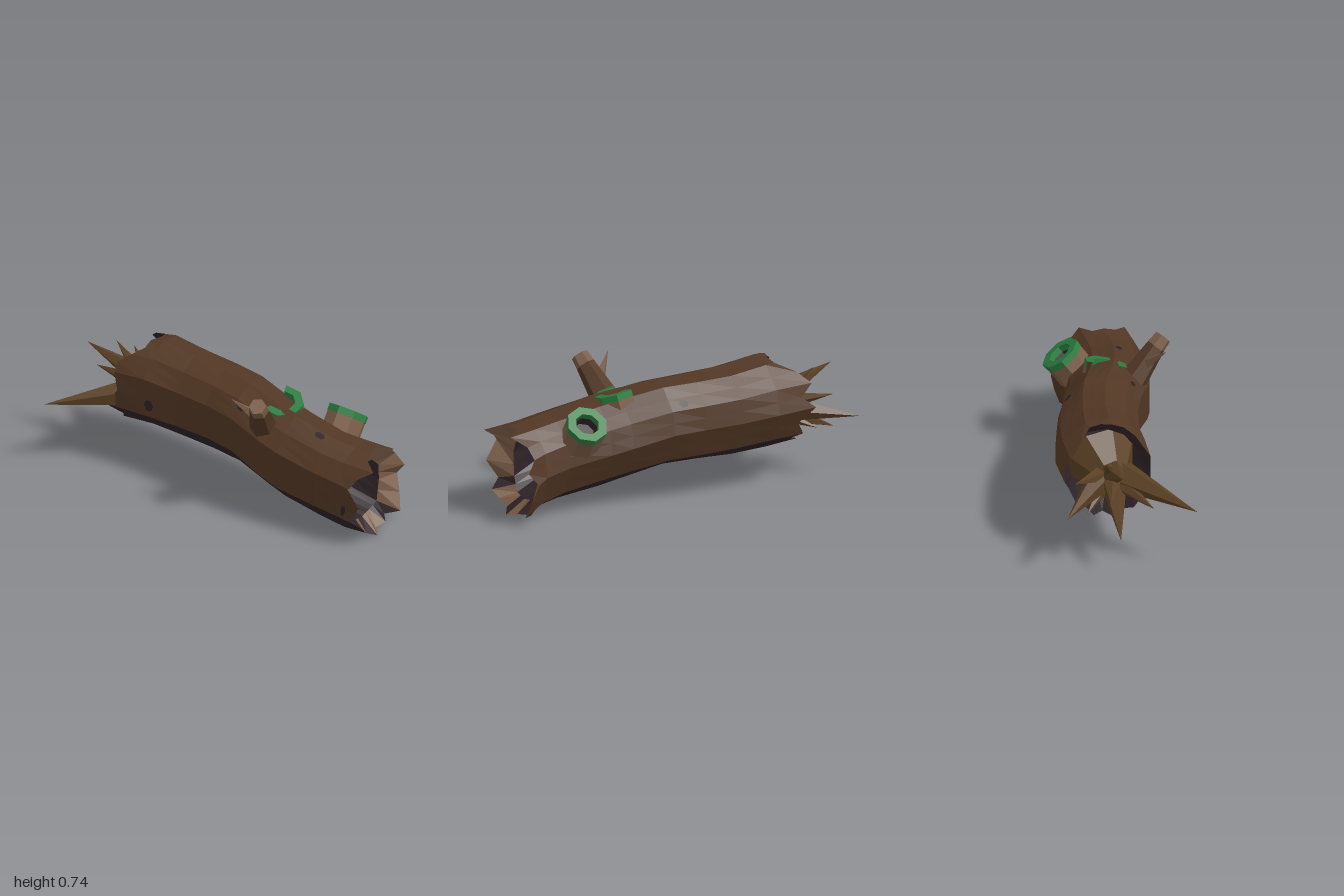
import * as THREE from 'three';

const mat = (name, color) => {
  const m = new THREE.MeshStandardMaterial({ color, flatShading: true });
  m.name = name;
  return m;
};
const V = (x, y, z) => new THREE.Vector3(x, y, z);
const UP = V(0, 1, 0);

// Cross-section angles, measured from +z (front) towards +y
const ANGLES = [24, 52, 82, 112, 150, 182, 225, 250, 275, 303, 333].map(a => a * Math.PI / 180);
const N = ANGLES.length * 2;

// Log axis: x, centre y, centre z, radius
const SECTIONS = [
  [-0.5, 0.45, -0.105, 0.245], [-0.3, 0.432, -0.1, 0.235], [-0.1, 0.422, -0.078, 0.23],
  [0.08, 0.41, -0.045, 0.23], [0.3, 0.362, 0.01, 0.236], [0.42, 0.337, 0.032, 0.237],
  [0.66, 0.295, 0.05, 0.23], [0.8, 0.27, 0.04, 0.235],
];
// Broken ends: x of each tooth or notch, two per cross-section angle
const LEFT_JAG = [-0.68, -0.68, -0.62, -0.57, -0.57, -0.55, -0.56, -0.66, -0.72, -0.65, -0.73,
  -0.64, -0.69, -0.62, -0.7, -0.63, -0.7, -0.64, -0.68, -0.65, -0.74, -0.66];
const RIGHT_JAG = [0.87, 0.91, 0.985, 0.91, 0.895, 0.88, 0.955, 0.89, 0.88, 0.925, 0.87,
  0.9, 0.925, 0.86, 0.91, 0.88, 0.925, 0.89, 0.91, 0.93, 0.87, 0.935];
const ROUND = Array(ANGLES.length).fill(1);
const RIGHT_OUTLINE = [1, 1, 0.98, 0.97, 1, 1, 1.12, 0.91, 1, 0.9, 0.93];

// Ring of corners with midpoints between them; bulge pushes the midpoints outwards
function ring(xs, cy, cz, r, wobble = 0, bulge = 1, outline = ROUND) {
  const corners = ANGLES.map((a, j) => {
    const rr = r * outline[j] * (1 + wobble * Math.sin(j * 2.4 + xs[j * 2] * 7));
    return V(0, rr * Math.sin(a), rr * Math.cos(a));
  });
  return xs.map((x, j) => {
    const p = corners[j >> 1].clone();
    if (j % 2) p.lerp(corners[((j + 1) / 2) % corners.length], 0.5).multiplyScalar(bulge);
    return V(x, p.y + cy, p.z + cz);
  });
}
const flat = x => Array(N).fill(x);

function meshFromTriangles(name, points, material) {
  const g = new THREE.BufferGeometry().setFromPoints(points);
  g.computeVertexNormals();
  const m = new THREE.Mesh(g, material);
  m.name = name;
  return m;
}

function tapered(name, from, to, r0, r1, sides, material) {
  const d = to.clone().sub(from);
  const m = new THREE.Mesh(new THREE.CylinderGeometry(r1, r0, d.length(), sides), material);
  m.position.copy(from).addScaledVector(d, 0.5);
  m.quaternion.setFromUnitVectors(UP, d.normalize());
  m.name = name;
  return m;
}

export function createModel() {
  const bark = mat('bark brown', 0x523724);
  const dark = mat('dark rotten wood', 0x2e2226);
  const wood = mat('pale broken wood', 0x7b5d47);
  const moss = mat('moss green', 0x2b7d40);
  const root = mat('root brown', 0x5a4024);
  const model = new THREE.Group();
  model.name = 'hollowLog';

  // Closed chain of rings: outer bark, right rim, hollow, left rim
  const outer = [
    ring(LEFT_JAG, 0.45, -0.09, 0.24, 0, 1.02),
    ...SECTIONS.map(([x, y, z, r]) => ring(flat(x), y, z, r, 0.02)),
    ring(RIGHT_JAG, 0.25, 0.025, 0.25, 0, 1.02, RIGHT_OUTLINE),
  ];
  const inner = [
    ring(flat(0.82), 0.235, 0.02, 0.16, 0.1),
    ...SECTIONS.slice(1, -1).reverse().map(([x, y, z, r]) => ring(flat(x), y, z, r * 0.72, 0.05)),
    ring(flat(-0.52), 0.45, -0.11, 0.19),
  ];
  const rings = [...outer, ...inner];
  const parts = { barkShell: [], darkUnderside: [], brokenRim: [], hollow: [] };
  const rimRow = outer.length - 1;
  rings.forEach((a, i) => {
    const b = rings[(i + 1) % rings.length];
    for (let j = 0; j < N; j++) {
      const k = (j + 1) % N;
      const under = j >= 12 && j <= 19;
      const darkRim = [12, 13, 16, 19].includes(j);
      const part = i < rimRow ? (under ? 'darkUnderside' : 'barkShell')
        : i === rimRow && !darkRim ? 'brokenRim' : 'hollow';
      parts[part].push(a[j], b[j], a[k], b[j], b[k], a[k]);
    }
  });
  const partMaterial = { barkShell: bark, darkUnderside: dark, brokenRim: wood, hollow: dark };
  for (const name in parts) model.add(meshFromTriangles(name, parts[name], partMaterial[name]));

  // Small dark knots lying on the bark faces: [section row, face, u, v]
  [[1, 20, 0.15, 0.65], [4, 1, 0.15, 0.5], [3, 7, 0.6, 0.5], [6, 3, 0.75, 0.5], [8, 20, 0.35, 0.5]].forEach(([i, j, u, v]) => {
    const a = outer[i], b = outer[i + 1], k = (j + 1) % N;
    const at = (s, t) => a[j].clone().lerp(b[j], s).lerp(a[k].clone().lerp(b[k], s), t);
    const n = b[j].clone().sub(a[j]).cross(a[k].clone().sub(a[j])).normalize().multiplyScalar(0.004);
    const rim = q => at(u + 0.14 * Math.cos(q), v + 0.34 * Math.sin(q)).add(n);
    const tris = [];
    for (let s = 0; s < 6; s++) tris.push(at(u, v).add(n), rim(s * Math.PI / 3), rim((s + 1) * Math.PI / 3));
    model.add(meshFromTriangles('barkKnot', tris, dark));
  });

  // Root plug and spikes bursting from the left end: [base, tip, radius]
  model.add(tapered('rootPlug', V(-0.47, 0.445, -0.108), V(-0.66, 0.4, -0.06), 0.195, 0.07, 8, root));
  [
    [V(-0.6, 0.4, -0.01), V(-0.985, 0.36, 0.345), 0.085],
    [V(-0.6, 0.4, -0.12), V(-0.985, 0.355, -0.345), 0.08],
    [V(-0.6, 0.43, -0.07), V(-0.97, 0.57, -0.05), 0.075],
    [V(-0.6, 0.37, -0.06), V(-0.98, 0.21, -0.06), 0.075],
    [V(-0.62, 0.43, -0.07), V(-0.83, 0.585, -0.12), 0.055],
    [V(-0.6, 0.42, -0.1), V(-0.83, 0.48, -0.29), 0.055],
    [V(-0.62, 0.38, -0.04), V(-0.87, 0.33, 0.13), 0.055],
    [V(-0.6, 0.37, -0.1), V(-0.8, 0.28, -0.22), 0.05],
    [V(-0.6, 0.4, -0.07), V(-0.95, 0.41, -0.11), 0.065],
  ].forEach(([from, to, r]) => model.add(tapered('rootSpike', from, to, r, 0, 5, root)));

  // Broken branch with a pale end and a side twig
  const base = V(0.262, 0.472, 0.12), neck = V(0.327, 0.67, 0.272), tip = V(0.342, 0.716, 0.312);
  model.add(tapered('branch', base, neck, 0.082, 0.052, 6, bark));
  model.add(tapered('branchEnd', neck, tip, 0.052, 0.046, 6, wood));
  model.add(tapered('twig', V(0.28, 0.59, 0.21), V(0.17, 0.715, 0.31), 0.035, 0, 4, wood));

  // Hollow stubs with a mossy lip
  const stub = (name, top, axis, R, r, h, lip, start, length, sides, inside) => {
    const g = new THREE.Group();
    g.name = name;
    const lathe = (part, pts, material) => {
      const m = new THREE.Mesh(new THREE.LatheGeometry(
        pts.map(p => new THREE.Vector2(...p)), sides, start, length), material);
      m.name = part;
      g.add(m);
    };
    lathe('stubSide', [[R * 0.97, -h], [R * 0.97, -lip]], wood);
    lathe('mossLip', [[R * 0.97, -lip], [R, -lip], [R, 0], [r, 0], [r, -lip]], moss);
    lathe('stubHole', [[r, -lip], [r * 0.9, -0.08], [0, -0.08]], inside);
    g.position.copy(top);
    g.quaternion.setFromUnitVectors(UP, axis.normalize());
    model.add(g);
  };
  stub('backStub', V(0.575, 0.532, -0.212), V(0.03, 0.8, -0.6), 0.113, 0.066, 0.16, 0.037, 0, Math.PI * 2, 8, dark);
  stub('topStub', V(0.295, 0.605, 0.005), V(0.2, 0.96, 0.22), 0.118, 0.072, 0.1, 0.035,
    -Math.PI / 8, Math.PI * 1.25, 5, bark);

  return model;
}
